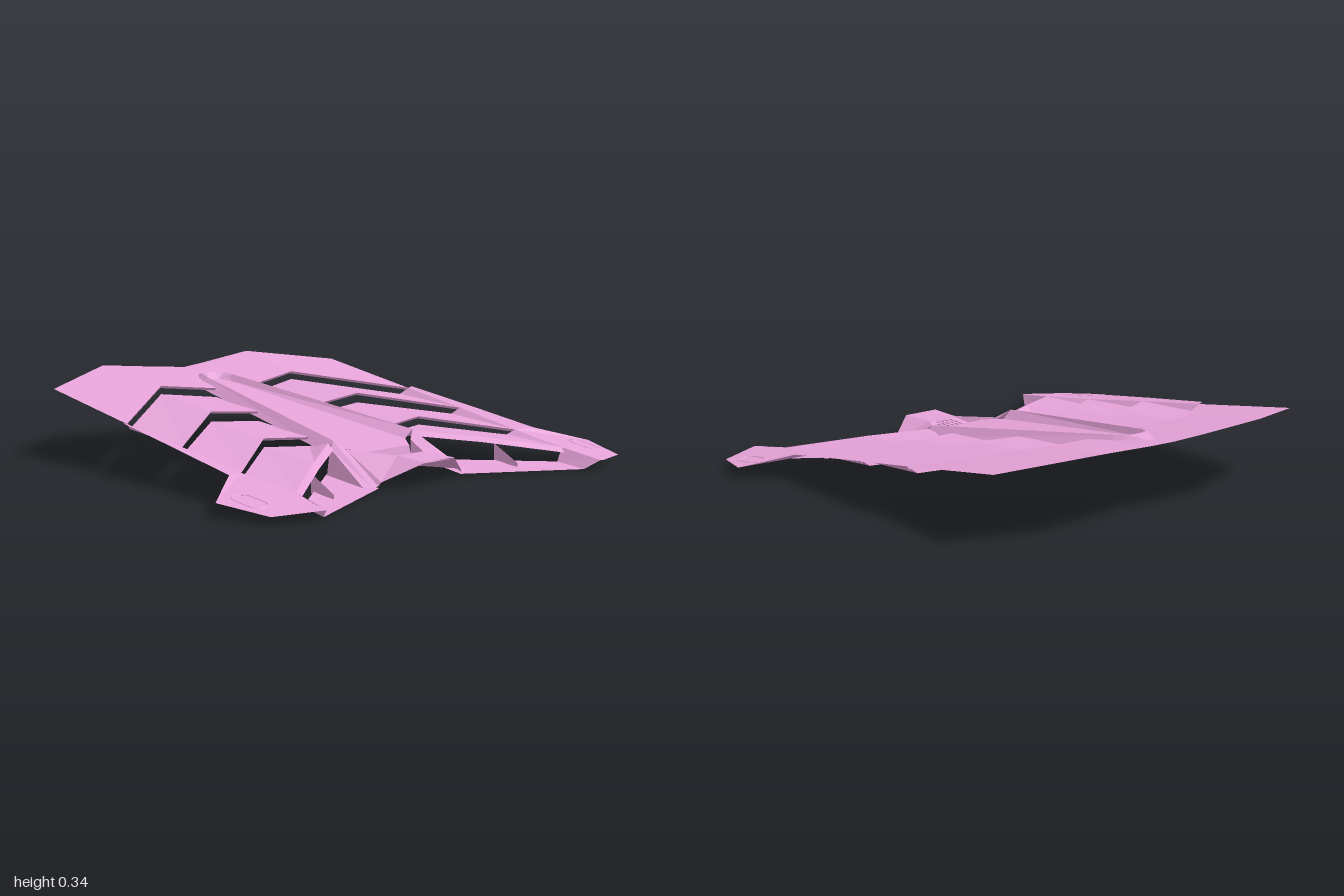
import * as THREE from 'three';

const material = new THREE.MeshStandardMaterial({
  color: 0xe6a3d9, flatShading: true, side: THREE.DoubleSide,
});

// Sheet lofted between rows of [x, y, z] points (rows run back to front, points inside to outside)
function sheet(rows, side) {
  const pos = [];
  const tri = (a, b, c) => {
    const order = side > 0 ? [a, b, c] : [a, c, b];
    order.forEach(p => pos.push(p[0] * side, p[1], p[2]));
  };
  for (let r = 0; r + 1 < rows.length; r++) {
    for (let c = 0; c + 1 < rows[r].length; c++) {
      const a = rows[r][c], b = rows[r + 1][c], d = rows[r + 1][c + 1], e = rows[r][c + 1];
      tri(a, b, d);
      tri(a, d, e);
    }
  }
  const g = new THREE.BufferGeometry();
  g.setAttribute('position', new THREE.Float32BufferAttribute(pos, 3));
  g.computeVertexNormals();
  return g;
}

// Chevron louvre lines: plan points inside to outside, heights above and below the slot
const louvres = [
  { plan: [[0.11, -0.505], [0.36, -0.56], [0.77, -0.23]], over: [0.258, 0.285, 0.207], under: [0.22, 0.25, 0.18] },
  { plan: [[0.165, -0.15], [0.4, -0.165], [0.755, 0.11]], over: [0.205, 0.227, 0.158], under: [0.165, 0.185, 0.132] },
  { plan: [[0.21, 0.225], [0.42, 0.195], [0.74, 0.45]], over: [0.15, 0.165, 0.105], under: [0.115, 0.13, 0.085] },
];
const upper = l => l.plan.map(([x, z], i) => [x, l.over[i], z]);
// The lower line ends short of the rail and climbs to it with a small cheek
const lower = l => [
  ...l.plan.map(([x, z], i) => [i === 2 ? x - 0.03 : x, l.under[i], i === 2 ? z - 0.023 : z]),
  [l.plan[2][0], l.over[2], l.plan[2][1]],
];
const barEdge = [[0.235, 0.145, 0.36], [0.44, 0.118, 0.515], [0.715, 0.07, 0.73]];

export function createModel() {
  const group = new THREE.Group();
  const add = (name, geometry) => {
    const mesh = new THREE.Mesh(geometry, material);
    mesh.name = name;
    group.add(mesh);
    return mesh;
  };
  const pair = (name, rows) => {
    add(name + 'Left', sheet(rows, 1));
    add(name + 'Right', sheet(rows, -1));
  };

  // Rear plate
  pair('rearPlate', [
    [[0, 0.305, -0.87], [0.13, 0.315, -0.89], [0.4, 0.34, -0.93], [0.77, 0.29, -0.75]],
    [[0, 0.283, -0.72], ...upper(louvres[0])],
  ]);

  // Slats between the louvre lines, with a thin turned-down front lip
  louvres.forEach((l, i) => {
    const front = i < 2 ? upper(louvres[i + 1]) : barEdge;
    const end = front[2];
    const inset = [end[0] - 0.012, end[1], end[2] - 0.009];
    pair('slat' + (i + 1), [lower(l), [front[0], front[1], inset, end]]);
  });
  louvres.forEach((l, i) => {
    const edge = upper(l);
    pair('slatLip' + (i + 1), [edge, edge.map(([x, y, z]) => [x, y - 0.01, z - 0.008])]);
  });

  // Front bar lip
  pair('frontBar', [barEdge, barEdge.map(([x, y, z], i) => [x, y - 0.02, z + 0.035 - i * 0.004])]);

  // Side rail and wing tip
  pair('sideRail', [
    [[0.77, 0.207, -0.23], [0.791, 0.213, -0.23]],
    [[0.755, 0.158, 0.11], [0.805, 0.165, 0.11]],
    [[0.74, 0.105, 0.45], [0.82, 0.11, 0.48]],
  ]);
  pair('wingTip', [
    [[0.74, 0.105, 0.45], [0.82, 0.11, 0.48]],
    [[0.715, 0.07, 0.73], [1, 0.055, 0.63]],
    [[0.73, 0.05, 0.85], [0.93, 0.03, 0.85]],
    [[0.735, 0.04, 0.92], [0.745, 0.04, 0.925]],
  ]);

  // Oval seam on each wing tip
  for (const side of [1, -1]) {
    const points = [];
    for (let i = 0; i < 20; i++) {
      const a = i / 20 * Math.PI * 2;
      const dx = 0.035 * Math.cos(a);
      const dz = 0.035 * Math.sin(a) + Math.sign(Math.sin(a)) * 0.04;
      const x = 0.897 + dx - dz * 0.08, z = 0.695 + dz;
      points.push(new THREE.Vector3(side * x, 0.055 - 0.106 * (x - 1) - 0.147 * (z - 0.63), z));
    }
    add('tipSlot', new THREE.TubeGeometry(new THREE.CatmullRomCurve3(points, true), 48, 0.0025, 4, true));
  }

  // Low front panel, rising to the wing tip at its outer end
  pair('frontPanel', [
    [[0.26, 0.028, 0.38], [0.685, 0.015, 0.735], [0.715, 0.07, 0.73]],
    [[0.22, 0.008, 0.64], [0.7, 0, 0.865], [0.735, 0.04, 0.92]],
  ]);

  // Upright fin under the bar
  pair('intakeFin', [
    [[0.495, 0.09, 0.56], [0.495, 0.012, 0.56]],
    [[0.495, 0.025, 0.69], [0.495, 0.006, 0.69]],
  ]);

  // Central spine: recessed top panel, raised ridge, sloping flank
  const spine = [
    [-0.75, [0, 0.287], [0.01, 0.287], [0.02, 0.287], [0.04, 0.283]],
    [-0.68, [0, 0.3], [0.02, 0.3], [0.045, 0.298], [0.085, 0.265]],
    [-0.66, [0, 0.27], [0.03, 0.27], [0.055, 0.296], [0.1, 0.258]],
    [-0.62, [0, 0.265], [0.055, 0.265], [0.07, 0.292], [0.11, 0.25]],
    [0.37, [0, 0.12], [0.175, 0.12], [0.215, 0.155], [0.25, 0.11]],
  ].map(([z, ...cols]) => cols.map(([x, y]) => [x, y, z]));
  pair('spine', spine);
  pair('spineFront', [
    [[0, 0.12, 0.37], [0.175, 0.12, 0.37]],
    [[0, 0.11, 0.45], [0.12, 0.11, 0.45]],
    [[0, 0.065, 0.455], [0.125, 0.065, 0.455]],
  ]);

  // Nose hood around the scoop, its side wall and its underside
  pair('noseHood', [
    [[0, 0.108, 0.58], [0.07, 0.108, 0.58], [0.175, 0.12, 0.4], [0.215, 0.155, 0.37]],
    [[0, 0.105, 0.74], [0.08, 0.105, 0.74], [0.215, 0.03, 0.645], [0.225, 0.015, 0.64]],
  ]);
  pair('hoodWall', [
    [[0.215, 0.155, 0.37], [0.24, 0.13, 0.38], [0.265, 0.025, 0.39]],
    [[0.225, 0.015, 0.64], [0.25, 0.012, 0.63], [0.28, 0.008, 0.62]],
  ]);
  pair('noseTray', [
    [[0, 0.027, 0.43], [0.1, 0.03, 0.42], [0.21, 0.038, 0.4]],
    [[0, 0.1, 0.737], [0.08, 0.1, 0.737], [0.215, 0.03, 0.645]],
  ]);

  // Scoop sides down to the mesh
  pair('scoopSide', [
    [[0.128, 0.065, 0.45], [0.175, 0.12, 0.4]],
    [[0.068, 0.1, 0.578], [0.07, 0.108, 0.58]],
    [[0, 0.1, 0.578], [0, 0.108, 0.58]],
  ]);

  // Honeycomb mesh, tilted to face up and back
  const length = 0.132, halfWidth = s => 0.13 - 0.06 * s / length;
  const mesh = new THREE.Shape([[-0.13, 0], [0.13, 0], [0.07, length], [-0.07, length]]
    .map(p => new THREE.Vector2(...p)));
  const radius = 0.0105, pitch = 0.023;
  for (let row = 0; row < 6; row++) {
    const s = 0.014 + row * pitch * 0.9;
    for (let i = -6; i <= 6; i++) {
      const x = (i + (row % 2) / 2) * pitch;
      if (Math.abs(x) + radius + 0.005 > halfWidth(s + radius)) continue;
      const hole = new THREE.Path();
      for (let k = 0; k < 6; k++) {
        const a = (k + 0.5) * Math.PI / 3;
        hole[k ? 'lineTo' : 'moveTo'](x + radius * Math.cos(a), s + radius * Math.sin(a));
      }
      hole.closePath();
      mesh.holes.push(hole);
    }
  }
  const grille = add('scoopMesh', new THREE.ExtrudeGeometry(mesh, { depth: 0.006, bevelEnabled: false }));
  grille.rotation.x = Math.PI / 2 - 0.27;
  grille.position.set(0, 0.068, 0.452);

  return group;
}
